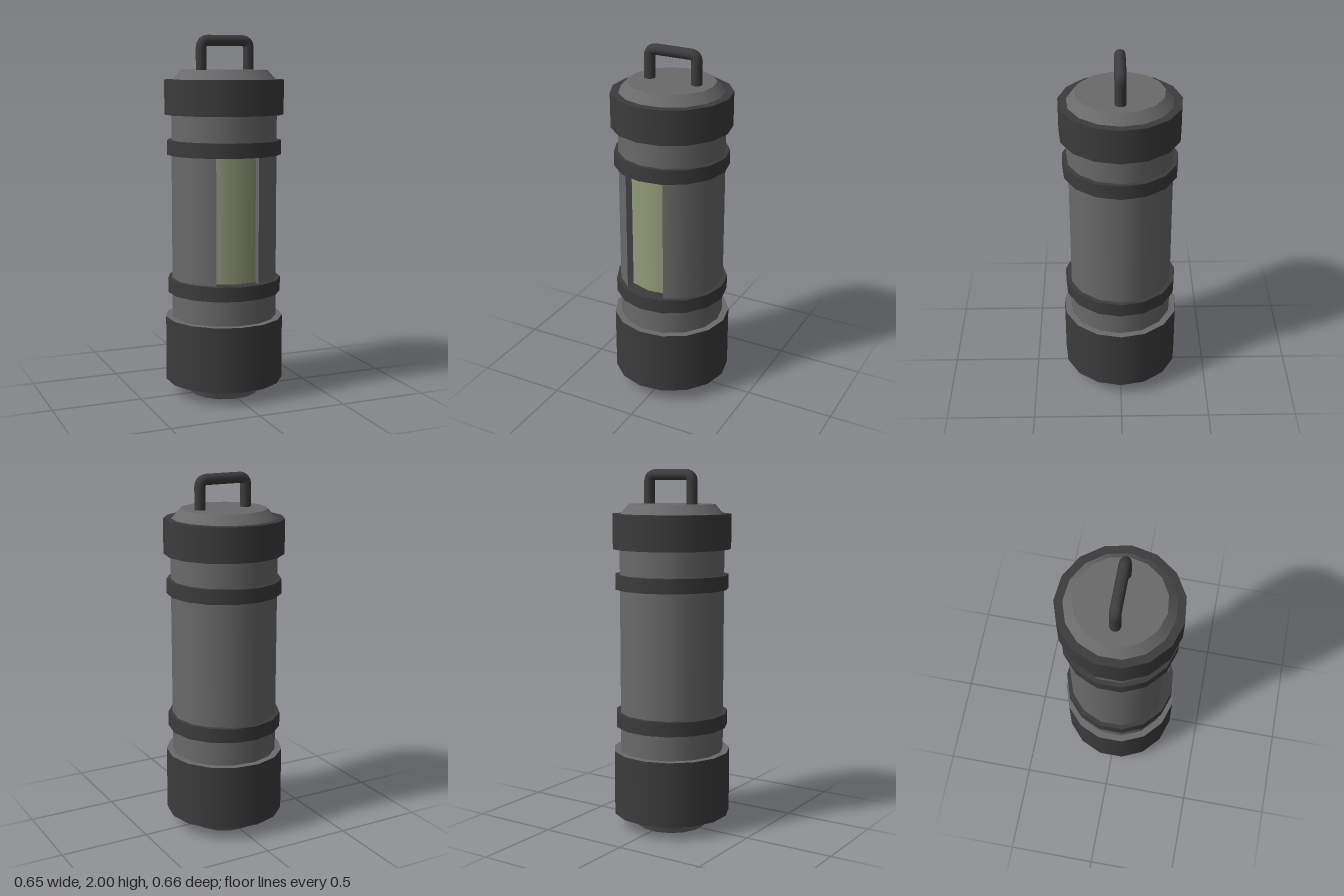
import * as THREE from 'three';

const SIDES = 15;
const rad = THREE.MathUtils.degToRad;

export function createModel() {
  const model = new THREE.Group();
  model.name = 'canister';

  const mat = (name, color) => {
    const m = new THREE.MeshStandardMaterial({ color });
    m.name = name;
    return m;
  };
  const steel = mat('grey steel', 0x6a6a6a);
  const rubber = mat('dark rubber', 0x3c3c3c);
  const glass = mat('pale green window', 0x929b78);

  // The fifteen-sided body sits slightly left so its outline is centred
  const body = new THREE.Group();
  body.name = 'body';
  body.position.x = -0.0037;
  model.add(body);

  const add = (parent, name, geometry, material) => {
    const mesh = new THREE.Mesh(geometry, material);
    mesh.name = name;
    parent.add(mesh);
    return mesh;
  };

  // Closed drum between two heights, with a corner on the +x axis
  const drum = (name, y0, y1, rBottom, rTop, material) => {
    const g = new THREE.CylinderGeometry(rTop, rBottom, y1 - y0, SIDES, 1, false, Math.PI / 2);
    g.translate(0, (y0 + y1) / 2, 0);
    return add(body, name, g, material);
  };

  const R = 0.292;
  drum('foot', 0, 0.077, 0.195, 0.24, steel);
  drum('lowerCollar', 0.077, 0.44, 0.3295, 0.3295, [rubber, steel, rubber]);
  drum('lowerShell', 0.43, 0.6, R, R, steel);
  drum('lowerBand', 0.58, 0.66, 0.316, 0.316, rubber);
  drum('upperBand', 1.35, 1.43, 0.316, 0.316, rubber);
  drum('upperShell', 1.41, 1.6, R, R, steel);
  drum('upperCollar', 1.57, 1.76, 0.3295, 0.3295, rubber);
  drum('lid', 1.76, 1.812, 0.285, 0.239, steel);

  // Middle shell, open over two sides for the recessed window
  const y0 = 0.66, y1 = 1.35, height = y1 - y0, midY = (y0 + y1) / 2, depth = 0.055;
  const shell = (start, sides) => new THREE.CylinderGeometry(
    R, R, height, sides, 1, true, rad(start), rad(24 * sides));
  add(body, 'middleShell', shell(18, 13), steel).position.y = midY;

  const out = new THREE.Vector3(Math.cos(rad(96)), 0, Math.sin(rad(96)));
  add(body, 'window', shell(-30, 2), glass)
    .position.set(-out.x * depth, midY, -out.z * depth);

  // Side walls of the window recess
  for (const [corner, turn] of [[72, -96], [120, 84]]) {
    const wall = add(body, 'windowWall', new THREE.PlaneGeometry(depth, height), steel);
    wall.rotation.y = rad(turn);
    wall.position.set(Math.cos(rad(corner)) * R, midY, Math.sin(rad(corner)) * R)
      .addScaledVector(out, -depth / 2);
  }

  // Carrying handle: two legs and a bar with tight rounded corners
  const v = (x, y) => new THREE.Vector3(x, y, 0);
  const hx = 0.139, hy = 1.97, bend = 0.04;
  const path = new THREE.CurvePath();
  path.add(new THREE.LineCurve3(v(-hx, 1.79), v(-hx, hy - bend)));
  path.add(new THREE.QuadraticBezierCurve3(v(-hx, hy - bend), v(-hx, hy), v(bend - hx, hy)));
  path.add(new THREE.LineCurve3(v(bend - hx, hy), v(hx - bend, hy)));
  path.add(new THREE.QuadraticBezierCurve3(v(hx - bend, hy), v(hx, hy), v(hx, hy - bend)));
  path.add(new THREE.LineCurve3(v(hx, hy - bend), v(hx, 1.79)));
  add(model, 'handle', new THREE.TubeGeometry(path, 60, 0.03, 12), rubber).position.x = 0.003;

  return model;
}
